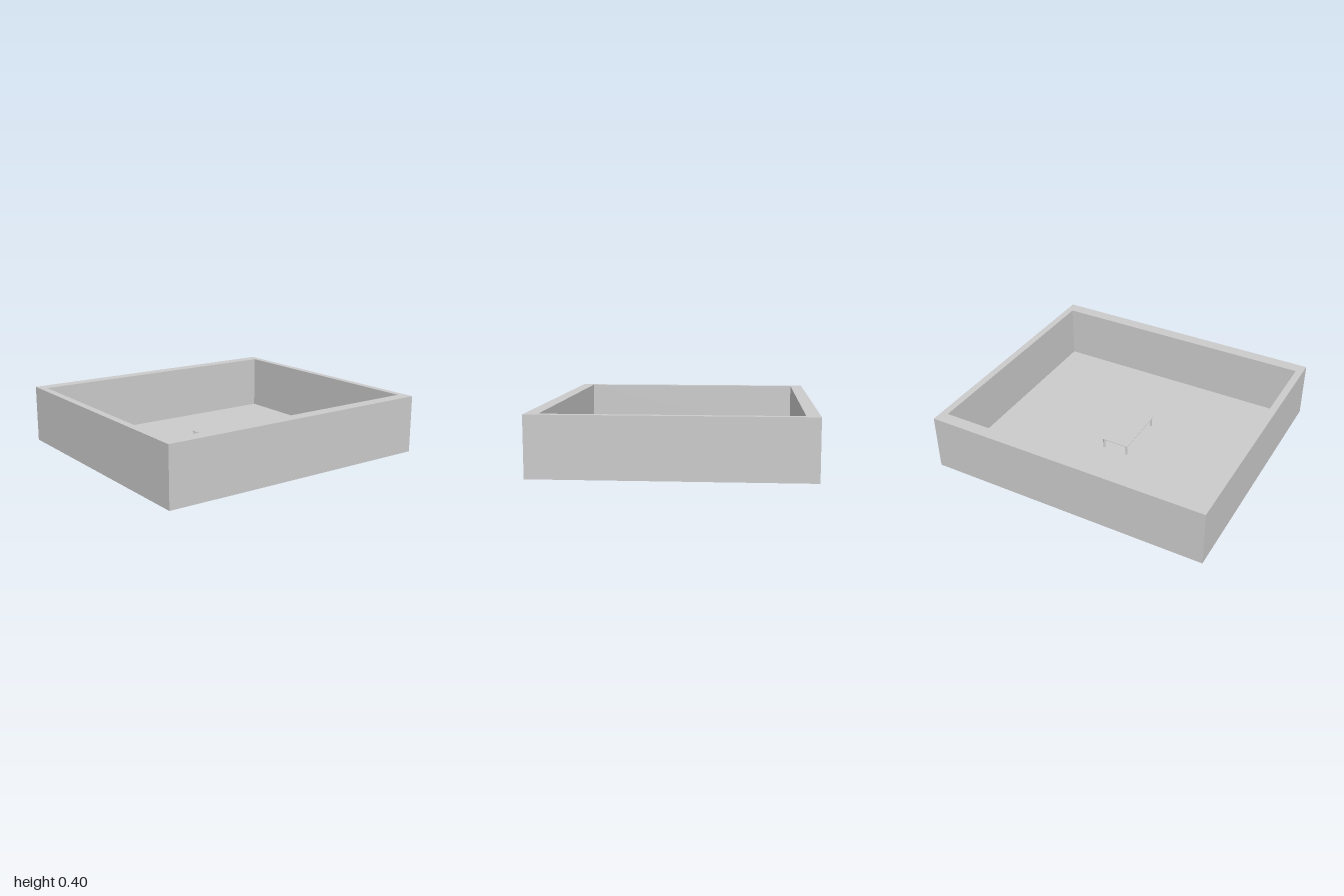
import * as THREE from 'three';

export function createModel() {
  const model = new THREE.Group();
  const material = new THREE.MeshStandardMaterial({ color: 0xcccccc });

  const add = (parent, name, geometry, x, y, z) => {
    const mesh = new THREE.Mesh(geometry, material);
    mesh.name = name;
    mesh.position.set(x, y, z);
    parent.add(mesh);
  };
  const box = (w, h, d) => new THREE.BoxGeometry(w, h, d);

  const width = 1.8, height = 0.4, depth = 2;
  const innerX = 0.812, innerZ = 0.95, floorTop = 0.01;

  // One rectangular ring forms the four walls
  const ring = new THREE.Shape([[-1, -1], [1, -1], [1, 1], [-1, 1]]
    .map(([x, z]) => new THREE.Vector2(x * width / 2, z * depth / 2)));
  ring.holes.push(new THREE.Path([[-1, -1], [-1, 1], [1, 1], [1, -1]]
    .map(([x, z]) => new THREE.Vector2(x * innerX, z * innerZ))));
  const walls = new THREE.ExtrudeGeometry(ring, { depth: height, bevelEnabled: false });
  walls.rotateX(-Math.PI / 2);
  add(model, 'walls', walls, 0, 0, 0);

  // Thin floor inside the walls
  add(model, 'floor', box(innerX * 2, floorTop, innerZ * 2), 0, floorTop / 2, 0);

  // Low table in the middle of the room
  const table = new THREE.Group();
  table.name = 'table';
  model.add(table);
  const topY = 0.082, topThickness = 0.004, legRadius = 0.008;
  add(table, 'tableTop', box(0.4, topThickness, 0.2), 0, topY - topThickness / 2, 0);

  const legHeight = topY - topThickness - floorTop;
  const leg = new THREE.CylinderGeometry(legRadius, legRadius, legHeight, 16);
  for (const x of [-0.19, 0.19]) {
    for (const z of [-0.09, 0.09]) {
      add(table, 'tableLeg', leg, x, floorTop + legHeight / 2, z);
    }
  }

  return model;
}
